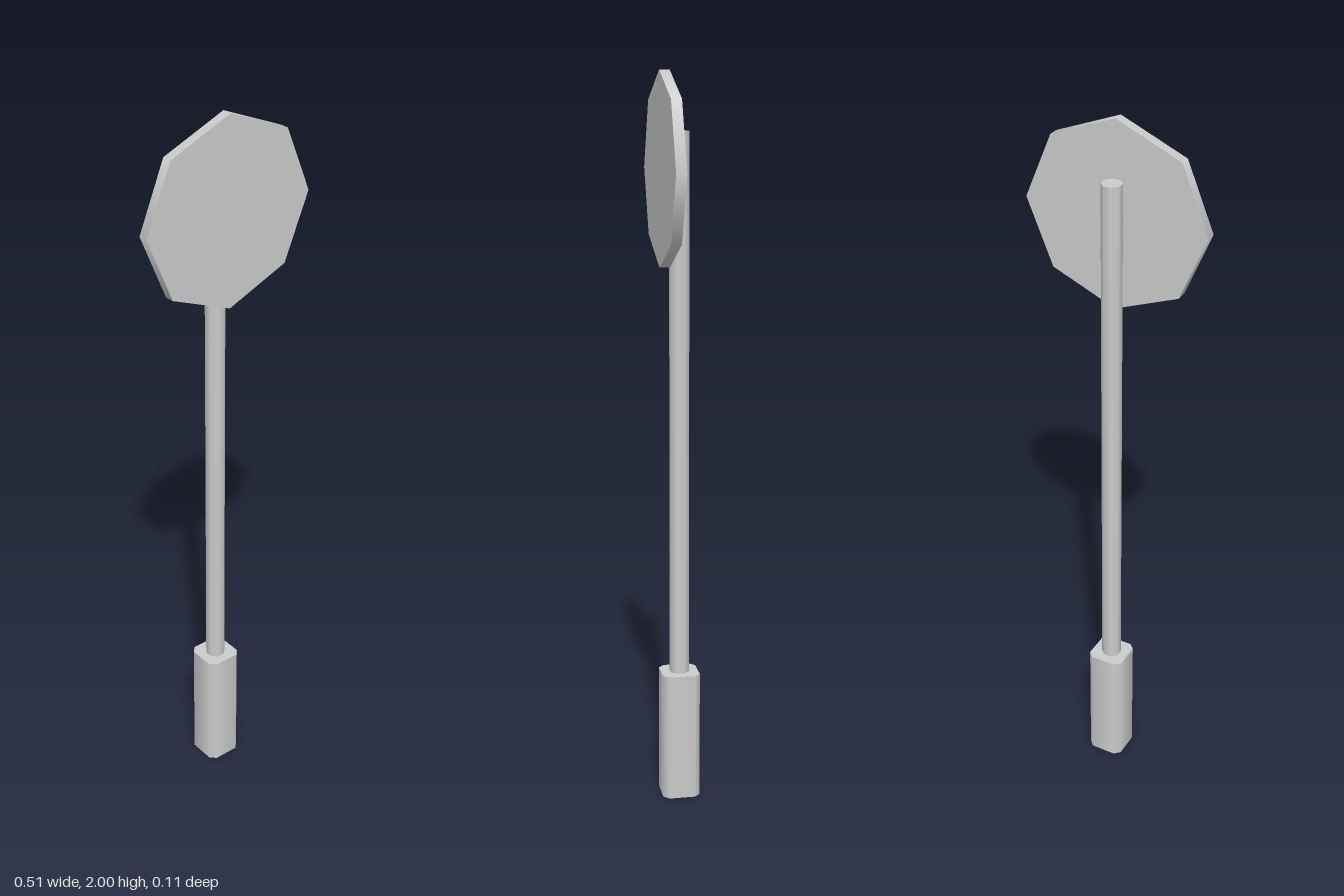
import * as THREE from 'three';

export function createModel() {
  const group = new THREE.Group();
  const material = new THREE.MeshStandardMaterial({ color: 0xcccccc });
  const axisX = -0.005, axisZ = -0.002;

  const add = (name, geometry, x, y, z) => {
    const mesh = new THREE.Mesh(geometry, material);
    mesh.name = name;
    mesh.position.set(x, y, z);
    group.add(mesh);
  };

  // Octagonal prism with its flats facing the axes
  const prism = (radius, height) =>
    new THREE.CylinderGeometry(radius, radius, height, 8, 1, false, Math.PI / 8);

  // Base: prism squared off into a block with chamfered corners
  const base = prism(1, 0.36);
  const pos = base.attributes.position;
  const square = (v) => Math.sign(v) * (Math.abs(v) > 0.6 ? 0.052 : Math.abs(v) > 0.1 ? 0.036 : 0);
  for (let i = 0; i < pos.count; i++) {
    pos.setX(i, square(pos.getX(i)));
    pos.setZ(i, square(pos.getZ(i)));
  }
  add('base', base, axisX, 0.18, axisZ);

  // Pole rising from the base to behind the sign
  add('pole', prism(0.0275, 1.55), axisX, 1.07 + 0.001, axisZ);

  // Octagonal sign plate with a corner pointing up
  const plate = new THREE.CylinderGeometry(0.255, 0.255, 0.028, 8);
  plate.rotateX(Math.PI / 2);
  add('signPlate', plate, 0, 1.745, 0.038);

  return group;
}
